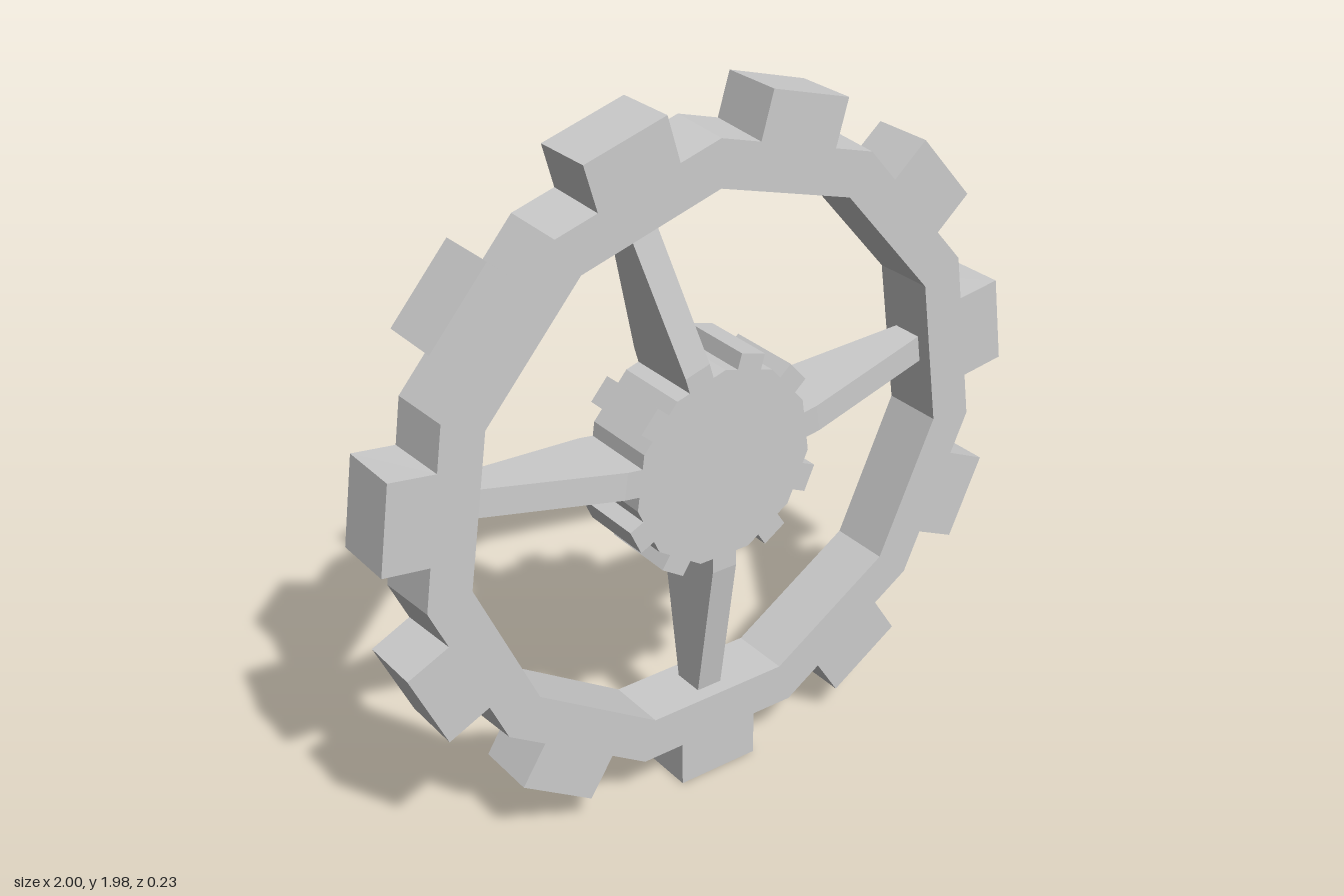
import * as THREE from 'three';

const TEETH = 11;
const STEP = (Math.PI * 2) / TEETH;
const COS = Math.cos(STEP / 2);
const angleOf = (k) => -Math.PI / 2 + k * STEP;

// Point at distance r along a direction, shifted t sideways
const at = (a, r, t = 0) =>
  new THREE.Vector2(Math.cos(a) * r - Math.sin(a) * t, Math.sin(a) * r + Math.cos(a) * t);

// Eleven-sided outline with one square tooth on each side
function gearShape(apothem, tip, halfWidth) {
  const pts = [];
  for (let k = 0; k < TEETH; k++) {
    const a = angleOf(k);
    pts.push(at(a - STEP / 2, apothem / COS), at(a, apothem, -halfWidth), at(a, tip, -halfWidth),
      at(a, tip, halfWidth), at(a, apothem, halfWidth));
  }
  return new THREE.Shape(pts);
}

function polygonHole(apothem) {
  const pts = [];
  for (let k = 0; k < TEETH; k++) pts.push(at(angleOf(k) - STEP / 2, apothem / COS));
  return new THREE.Path(pts);
}

function extrude(shape, z0, z1) {
  const g = new THREE.ExtrudeGeometry(shape, { depth: z1 - z0, bevelEnabled: false });
  return g.translate(0, 0, z0);
}

export function createModel() {
  const model = new THREE.Group();
  model.name = 'gearWheel';
  const wheel = new THREE.Group();
  wheel.name = 'wheel';
  wheel.position.y = 0.992;
  model.add(wheel);
  const material = new THREE.MeshStandardMaterial({ color: 0xcccccc, flatShading: true });
  const add = (name, geometry, parent = wheel) => {
    const mesh = new THREE.Mesh(geometry, material);
    mesh.name = name;
    parent.add(mesh);
    return mesh;
  };

  // Toothed rim, its valleys slightly fuller at the back
  const rimShape = gearShape(0.859, 0.992, 0.125);
  rimShape.holes.push(polygonHole(0.7345));
  const rim = extrude(rimShape, -0.09, 0.09);
  const p = rim.attributes.position;
  for (let i = 0; i < p.count; i++) {
    const r = Math.hypot(p.getX(i), p.getY(i));
    if (p.getZ(i) < 0 && r > 0.82 && r < 0.93) p.setXY(i, p.getX(i) * 1.012, p.getY(i) * 1.012);
  }
  rim.computeVertexNormals();
  add('rim', rim);

  // Hub: closed front plate and a hollow toothed wall open at the back
  const hub = new THREE.Group();
  hub.name = 'hub';
  wheel.add(hub);
  const hubShape = () => gearShape(0.27, 0.315, 0.039);
  add('hubFace', extrude(hubShape(), 0.09, 0.113), hub);
  const wallShape = hubShape();
  wallShape.holes.push(polygonHole(0.23));
  add('hubWall', extrude(wallShape, -0.113, 0.09), hub);

  // Ribs inside the hollow
  for (let k = 0; k < TEETH; k++) {
    const rib = add('hubRib', new THREE.BoxGeometry(0.045, 0.078, 0.18).translate(0.2175, 0, 0), hub);
    rib.rotation.z = angleOf(k);
  }

  // Four spokes, getting thinner from front to back toward the rim
  for (const k of [0, 3, 6, 8]) {
    const inner = 0.314, outer = 0.745;
    const g = new THREE.BoxGeometry(outer - inner, 0.078, 0.226).translate((inner + outer) / 2, 0, 0);
    const v = g.attributes.position;
    for (let i = 0; i < v.count; i++) {
      if (v.getX(i) > 0.5) v.setZ(i, Math.sign(v.getZ(i)) * 0.044);
    }
    g.computeVertexNormals();
    add('spoke', g).rotation.z = angleOf(k);
  }
  return model;
}
